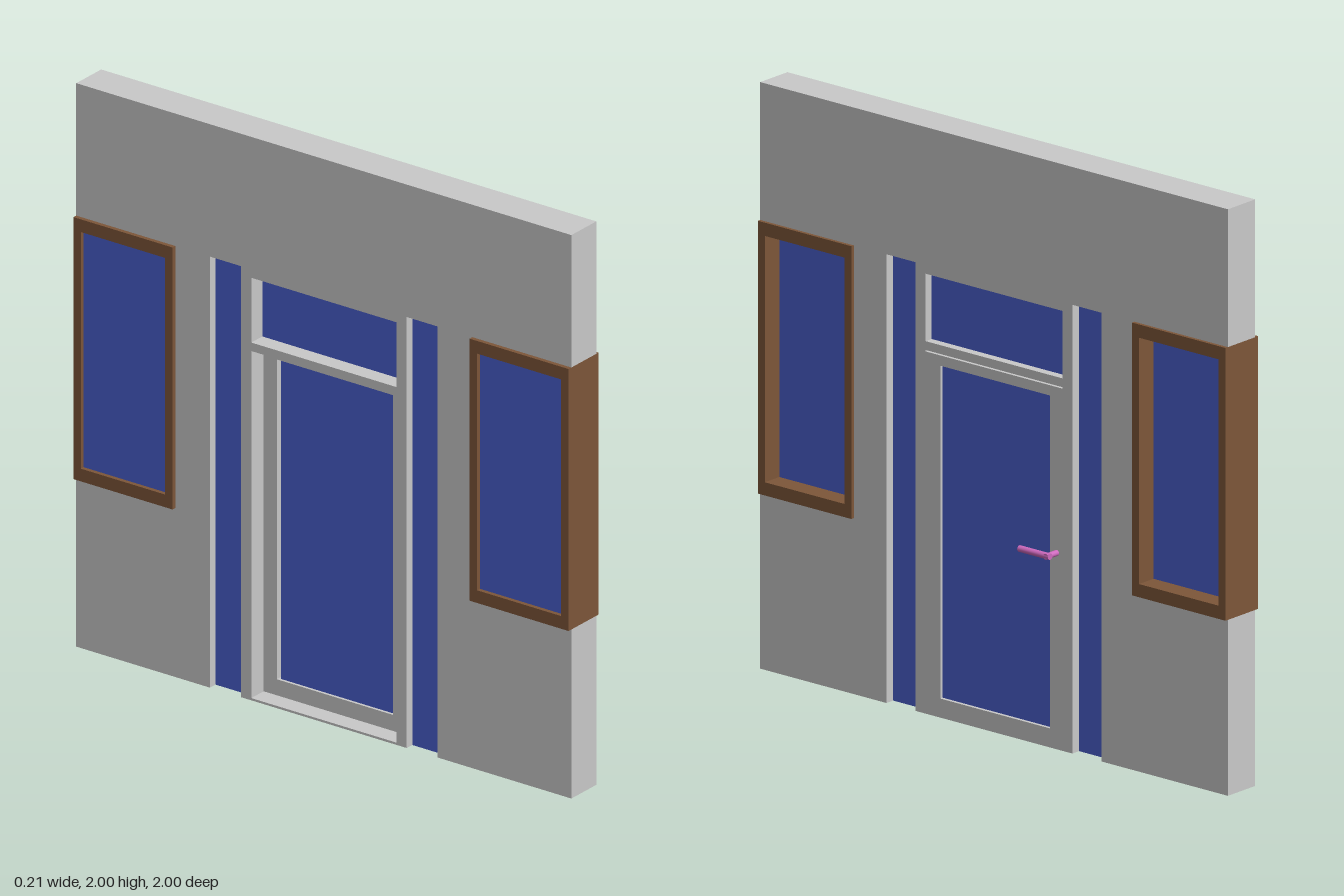
import * as THREE from 'three';

const mat = (name, color) => {
  const m = new THREE.MeshStandardMaterial({ color });
  m.name = name;
  return m;
};

// Rectangle path in the wall plane (z, y)
const rect = (z0, z1, y0, y1, Type = THREE.Path) =>
  new Type([[z0, y0], [z1, y0], [z1, y1], [z0, y1]].map(p => new THREE.Vector2(...p)));

export function createModel() {
  const group = new THREE.Group();
  const plaster = mat('lightGrey', 0xc9c9c9);
  const glass = mat('blueGlass', 0x4a60ce);
  const wood = mat('brownWood', 0x7d5639);
  const metal = mat('pinkMetal', 0xcf6abf);

  const add = (name, geometry, material) => {
    const mesh = new THREE.Mesh(geometry, material);
    mesh.name = name;
    group.add(mesh);
    return mesh;
  };
  // Extrude a (z, y) shape across the wall from x0 to x1
  const panel = (name, shape, x0, x1, material) => {
    const g = new THREE.ExtrudeGeometry(shape, { depth: x1 - x0, bevelEnabled: false });
    g.rotateY(-Math.PI / 2).translate(x1, 0, 0);
    return add(name, g, material);
  };
  const slab = (name, z0, z1, y0, y1, x0, x1, material) =>
    panel(name, rect(z0, z1, y0, y1, THREE.Shape), x0, x1, material);

  const BACK = -0.09, FRONT = 0.045;

  // Wall: notched at the ends for windows and at the foot for the sidelights
  const half = [
    [0.335, 0], [0.335, 1.53], [0.46, 1.53], [0.46, 0], [1, 0],
    [1, 0.6], [0.6, 0.6], [0.6, 1.53], [1, 1.53], [1, 2],
  ];
  const outline = [...half, ...half.map(([z, y]) => [-z, y]).reverse()];
  const wall = new THREE.Shape(outline.map(p => new THREE.Vector2(...p)));
  wall.holes.push(rect(-0.293, 0.293, 0.008, 1.24), rect(-0.293, 0.293, 1.27, 1.5));
  panel('wall', wall, BACK, FRONT, plaster);

  // Windows and tall sidelights, one on each side of the door
  for (const s of [1, -1]) {
    const [a, b] = s > 0 ? [0.6, 1] : [-1, -0.6];
    const frame = rect(a, b, 0.6, 1.53, THREE.Shape);
    frame.holes.push(rect(a + 0.03, b - 0.03, 0.645, 1.485));
    panel('windowFrame', frame, -0.105, 0.057, wood);
    slab('windowGlass', a + 0.03, b - 0.03, 0.645, 1.485, -0.09, -0.015, glass);
    const [c, d] = s > 0 ? [0.335, 0.46] : [-0.46, -0.335];
    slab('sidelightGlass', c, d, 0, 1.53, -0.06, 0.012, glass);
  }

  // Transom above the door
  slab('transomGlass', -0.293, 0.293, 1.27, 1.5, -0.03, 0.015, glass);

  // Door leaf with a glass panel that leaves a narrow gap on the handle side
  const leaf = rect(-0.293, 0.293, 0.008, 1.235, THREE.Shape);
  leaf.holes.push(rect(-0.24, 0.23, 0.065, 1.2));
  panel('doorLeaf', leaf, -0.023, FRONT, plaster);
  slab('doorGlass', -0.231, 0.23, 0.065, 1.2, -0.013, 0.033, glass);

  // Lever handle
  const spindle = new THREE.CylinderGeometry(0.01, 0.01, 0.06, 16);
  spindle.rotateZ(Math.PI / 2).translate(0.07, 0.67, -0.268);
  add('handleSpindle', spindle, metal);
  const lever = new THREE.CylinderGeometry(0.011, 0.011, 0.132, 16);
  lever.rotateX(Math.PI / 2).translate(0.09, 0.67, -0.213);
  add('handleLever', lever, metal);

  return group;
}
